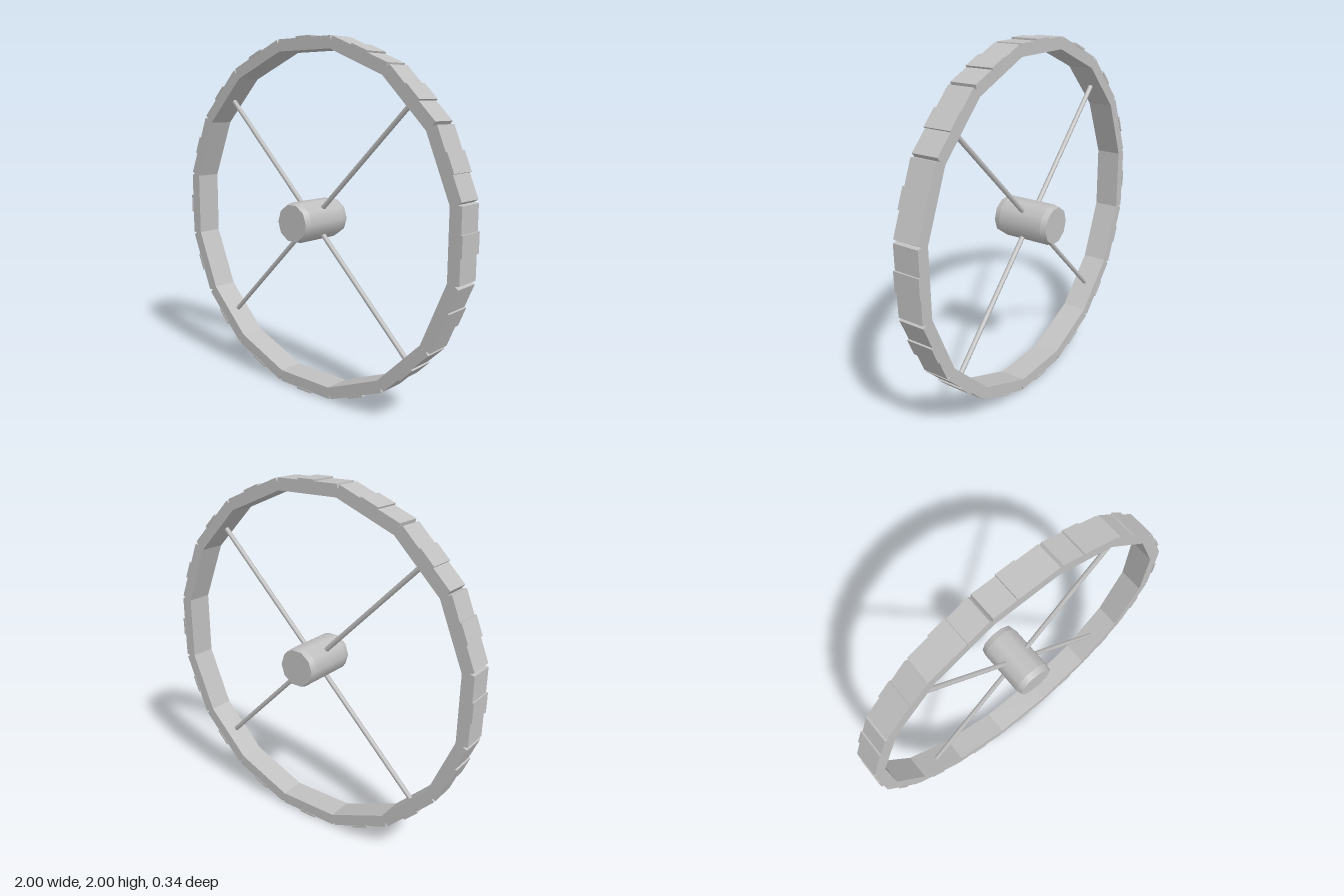
import * as THREE from 'three';

const SIDES = 16;
const STEP = (Math.PI * 2) / SIDES;

export function createModel() {
  const wheel = new THREE.Group();
  wheel.name = 'wheel';
  const metal = new THREE.MeshStandardMaterial({ color: 0xc0c0c0 });
  metal.name = 'grey metal';

  const add = (name, geometry, parent) => {
    const mesh = new THREE.Mesh(geometry, metal);
    mesh.name = name;
    parent.add(mesh);
    return mesh;
  };
  const polar = (r, a) => new THREE.Vector2(r * Math.cos(a), r * Math.sin(a));

  // Sixteen-sided rim with a small notch at each outer corner
  const apothem = 0.991;
  const corner = apothem / Math.cos(STEP / 2);
  const outline = [];
  const inner = [];
  for (let i = 0; i < SIDES; i++) {
    const a = (i + 0.5) * STEP;
    outline.push(polar(corner - 0.002, a - 0.009), polar(corner - 0.026, a), polar(corner - 0.002, a + 0.009));
    inner.push(polar(0.925 / Math.cos(STEP / 2), a));
  }
  const rimShape = new THREE.Shape(outline);
  rimShape.holes.push(new THREE.Path(inner));
  const rim = new THREE.ExtrudeGeometry(rimShape, { depth: 0.15, bevelEnabled: false });
  rim.translate(0, 0, -0.075);
  add('rim', rim, wheel);

  // Slightly raised tread plate in the middle of each rim face
  const treads = new THREE.Group();
  treads.name = 'treadPlates';
  wheel.add(treads);
  for (let i = 0; i < SIDES; i++) {
    const plate = new THREE.BoxGeometry(0.012, 0.108, 0.156);
    plate.translate(0.994, 0, 0);
    plate.rotateZ(i * STEP);
    add('treadPlate', plate, treads);
  }

  // Four thin diagonal spokes
  for (let i = 0; i < 4; i++) {
    const spoke = new THREE.CylinderGeometry(0.014, 0.014, 0.89, 8);
    spoke.translate(0, 0.495, 0);
    spoke.rotateZ(Math.PI / 4 + (i * Math.PI) / 2);
    add('spoke', spoke, wheel);
  }

  // Ten-sided hub with bevelled ends, lying along z
  const hub = new THREE.Group();
  hub.name = 'hub';
  wheel.add(hub);
  const hubPart = (name, rTop, rBottom, height, y, open) => {
    const g = new THREE.CylinderGeometry(rTop, rBottom, height, 10, 1, open, Math.PI / 2);
    g.translate(0, y, 0);
    g.rotateX(Math.PI / 2);
    return add(name, g, hub);
  };
  hubPart('hubBarrel', 0.114, 0.114, 0.27, 0, true);
  hubPart('hubFrontEnd', 0.105, 0.114, 0.035, 0.1525, false);
  hubPart('hubBackEnd', 0.114, 0.105, 0.035, -0.1525, false);

  wheel.position.y = 1;
  const model = new THREE.Group();
  model.name = 'spokedWheel';
  model.add(wheel);
  return model;
}
